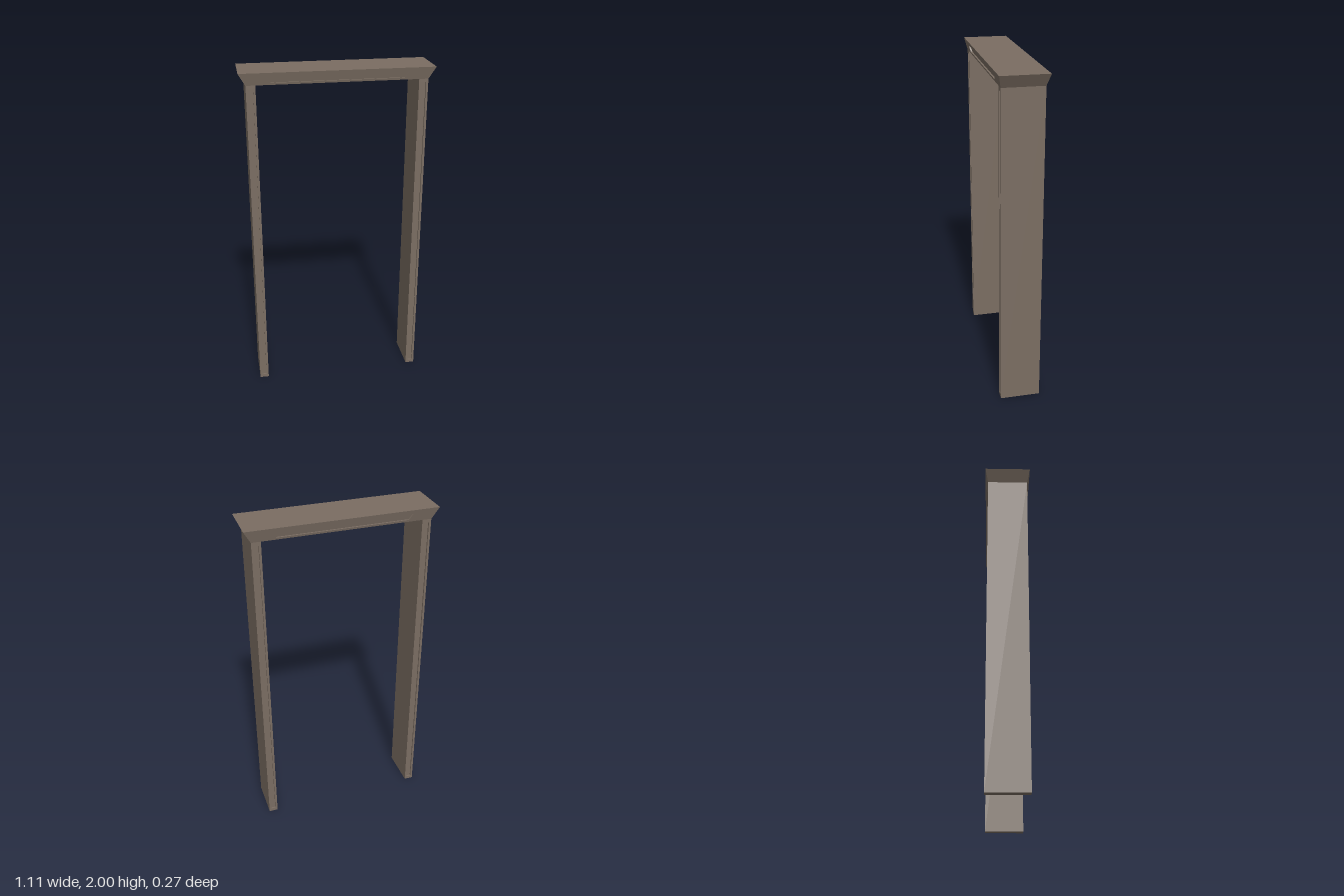
import * as THREE from 'three';

const POST_TOP = 1.93, TOP = 2, HALF_DEPTH = 0.12, TOP_HALF_DEPTH = 0.136, RECESS = 0.01;

const material = new THREE.MeshStandardMaterial({ color: 0x7a6d62, flatShading: true });

// Four corners of an upright trapezoid, counter-clockwise
function trapezoid(cx, halfBottom, halfTop, y0, y1) {
  return [
    [cx - halfBottom, y0], [cx + halfBottom, y0],
    [cx + halfTop, y1], [cx - halfTop, y1],
  ].map(([x, y]) => new THREE.Vector2(x, y));
}

// Extrusion centred on z = 0 whose depth widens above the posts
function slab(shape, halfDepth, name) {
  const geometry = new THREE.ExtrudeGeometry(shape, { depth: 2 * halfDepth, bevelEnabled: false });
  geometry.translate(0, 0, -halfDepth);
  const p = geometry.attributes.position;
  for (let i = 0; i < p.count; i++) {
    const t = Math.max(0, (p.getY(i) - POST_TOP) / (TOP - POST_TOP));
    p.setZ(i, p.getZ(i) + Math.sign(p.getZ(i)) * t * (TOP_HALF_DEPTH - HALF_DEPTH));
  }
  geometry.computeVertexNormals();
  const mesh = new THREE.Mesh(geometry, material);
  mesh.name = name;
  return mesh;
}

// Member with a sunken panel on its front and back
function panelled(outer, inner, name) {
  const group = new THREE.Group();
  group.name = name;
  const rim = new THREE.Shape(outer);
  rim.holes.push(new THREE.Path(inner));
  group.add(slab(rim, HALF_DEPTH, name + 'Rim'));
  group.add(slab(new THREE.Shape(inner), HALF_DEPTH - RECESS, name + 'Panel'));
  return group;
}

export function createModel() {
  const frame = new THREE.Group();
  frame.name = 'doorFrame';

  // Side posts
  for (const [side, name] of [[1, 'leftPost'], [-1, 'rightPost']]) {
    const cx = side * 0.49;
    frame.add(panelled(
      trapezoid(cx, 0.027, 0.027, 0, POST_TOP),
      trapezoid(cx, 0.014, 0.014, 0.02, POST_TOP - 0.02),
      name,
    ));
  }

  // Flared lintel
  frame.add(panelled(
    trapezoid(0, 0.517, 0.557, POST_TOP, TOP),
    trapezoid(0, 0.38, 0.4, 1.942, 1.976),
    'lintel',
  ));

  return frame;
}
